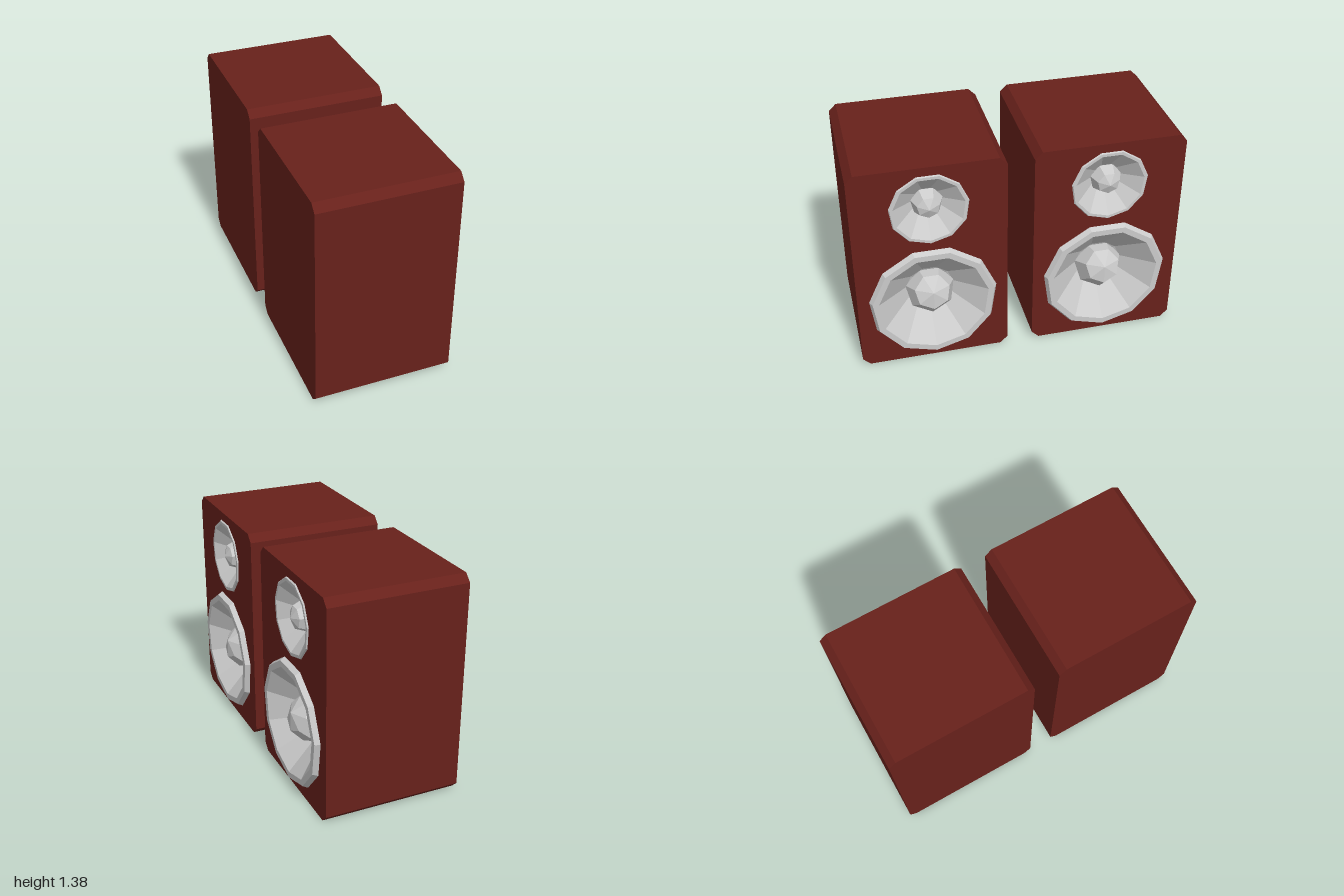
import * as THREE from 'three';

const BACK = -0.445, FACE = 0.412, SPLIT = 0.2;   // cabinet depth along x
const HALF = 0.46, HEIGHT = 1.375, CHAMFER = 0.045;
const SIDES = 11, CAP_SIDES = 7;

const wood = new THREE.MeshStandardMaterial({ color: 0x68211b, flatShading: true });
const grey = new THREE.MeshStandardMaterial({ color: 0xcccccc, flatShading: true });

// Driver profiles are [radius, x] from the outer rim to the bottom of the cone
const drivers = [
  {
    name: 'woofer', y: 0.428, hole: 0.38,
    profile: [[0.393, FACE], [0.376, 0.443], [0.338, 0.443], [0.15, 0.275], [0, 0.2]],
    cap: { radius: 0.155, x: 0.285, tilt: 0.42 },
  },
  {
    name: 'tweeter', y: 1.092, hole: 0.228,
    profile: [[0.237, FACE], [0.231, 0.42], [0.213, 0.42], [0.095, 0.325], [0, 0.26]],
    cap: { radius: 0.097, x: 0.325, tilt: 0 },
  },
];

function mesh(name, geometry, material) {
  const m = new THREE.Mesh(geometry, material);
  m.name = name;
  return m;
}

// Upright rectangle with cut corners
function cabinetOutline() {
  const c = CHAMFER, w = HALF, h = HEIGHT;
  return new THREE.Shape([
    [-w + c, 0], [w - c, 0], [w, c], [w, h - c],
    [w - c, h], [-w + c, h], [-w, h - c], [-w, c],
  ].map(([x, y]) => new THREE.Vector2(x, y)));
}

// Polygonal opening with one corner pointing down
function opening(radius, y) {
  const points = [];
  for (let i = 0; i < SIDES; i++) {
    const a = -Math.PI / 2 - (i / SIDES) * Math.PI * 2;
    points.push(new THREE.Vector2(radius * Math.cos(a), y + radius * Math.sin(a)));
  }
  return new THREE.Path(points);
}

// Extrudes an outline along x
function slab(shape, x0, x1) {
  const g = new THREE.ExtrudeGeometry(shape, { depth: x1 - x0, bevelEnabled: false });
  return g.rotateY(Math.PI / 2).translate(x0, 0, 0);
}

function createDriver({ name, y, profile, cap }) {
  const driver = new THREE.Group();
  driver.name = name;
  driver.position.y = y;

  // Rim and recessed cone
  const points = profile.map(([r, x]) => new THREE.Vector2(r, x));
  const cone = new THREE.LatheGeometry(points, SIDES, Math.PI / 2).rotateZ(-Math.PI / 2);
  driver.add(mesh(name + 'Cone', cone, grey));

  // Faceted dust cap
  const dome = new THREE.SphereGeometry(cap.radius, CAP_SIDES, 4, Math.PI)
    .rotateZ(-Math.PI / 2 + cap.tilt).translate(cap.x, 0, 0);
  driver.add(mesh(name + 'DustCap', dome, grey));
  return driver;
}

function createSpeaker(name, z) {
  const speaker = new THREE.Group();
  speaker.name = name;
  speaker.position.z = z;

  // Solid rear body and front part with driver openings
  speaker.add(mesh('cabinetBody', slab(cabinetOutline(), BACK, SPLIT), wood));
  const front = cabinetOutline();
  for (const d of drivers) front.holes.push(opening(d.hole, d.y));
  speaker.add(mesh('cabinetFront', slab(front, SPLIT, FACE), wood));

  for (const d of drivers) speaker.add(createDriver(d));
  return speaker;
}

export function createModel() {
  const model = new THREE.Group();
  model.name = 'speakerPair';
  model.add(createSpeaker('nearSpeaker', 0.54), createSpeaker('farSpeaker', -0.54));
  return model;
}
